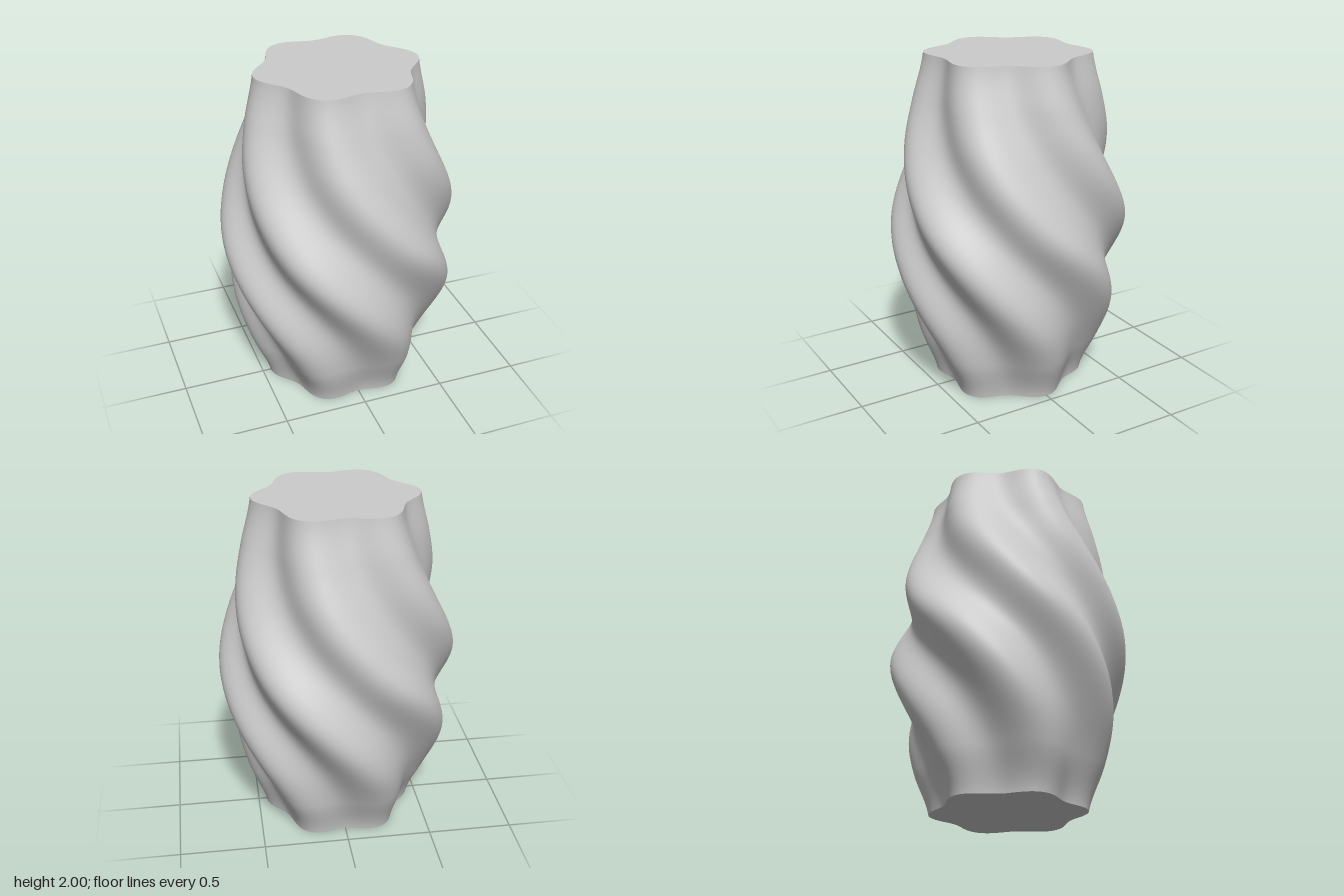
import * as THREE from 'three';
import { mergeVertices } from 'three/addons/utils/BufferGeometryUtils.js';

const HEIGHT = 2, LOBES = 6, SEGMENTS = 192, ROWS = 120;
const TWIST = THREE.MathUtils.degToRad(120);

// lobe-crest radius at even steps of height
const profile = new THREE.SplineCurve(
  [0.45, 0.55, 0.635, 0.685, 0.7, 0.668, 0.615, 0.545, 0.48]
    .map((r, i) => new THREE.Vector2(r, i * 0.25)));

// radius of the lobed, eased-twist section at an angle measured from the front
function sectionRadius(angle, y) {
  const t = THREE.MathUtils.clamp(y / HEIGHT, 0, 1);
  const valley = TWIST * (0.5 - THREE.MathUtils.smoothstep(t, 0, 1));
  const mean = profile.getPoint(t).x / 1.08;
  return mean * (1 - 0.08 * Math.cos(LOBES * (angle - valley)));
}

// push unit-radius vertices out to the section outline
function shapeToSection(geometry) {
  const p = geometry.attributes.position;
  for (let i = 0; i < p.count; i++) {
    const x = p.getX(i), y = p.getY(i), z = p.getZ(i);
    const r = sectionRadius(Math.atan2(x, z), y);
    p.setXYZ(i, x * r, y, z * r);
  }
  geometry.computeVertexNormals();
  return geometry;
}

export function createModel() {
  const group = new THREE.Group();
  group.name = 'twistedVase';
  const grey = new THREE.MeshStandardMaterial({ color: 0xcccccc });
  grey.name = 'light grey';

  const add = (name, geometry) => {
    const mesh = new THREE.Mesh(geometry, grey);
    mesh.name = name;
    group.add(mesh);
  };

  // twisted wall, welded at the seam for smooth normals
  let wall = new THREE.CylinderGeometry(1, 1, HEIGHT, SEGMENTS, ROWS, true);
  wall.translate(0, HEIGHT / 2, 0);
  wall.deleteAttribute('normal');
  wall.deleteAttribute('uv');
  wall = mergeVertices(wall, 1e-5);
  add('body', shapeToSection(wall));

  // flat lobed ends
  const cap = (y, turn) =>
    shapeToSection(new THREE.CircleGeometry(1, SEGMENTS).rotateX(turn).translate(0, y, 0));
  add('topCap', cap(HEIGHT, -Math.PI / 2));
  add('bottomCap', cap(0, Math.PI / 2));

  return group;
}
